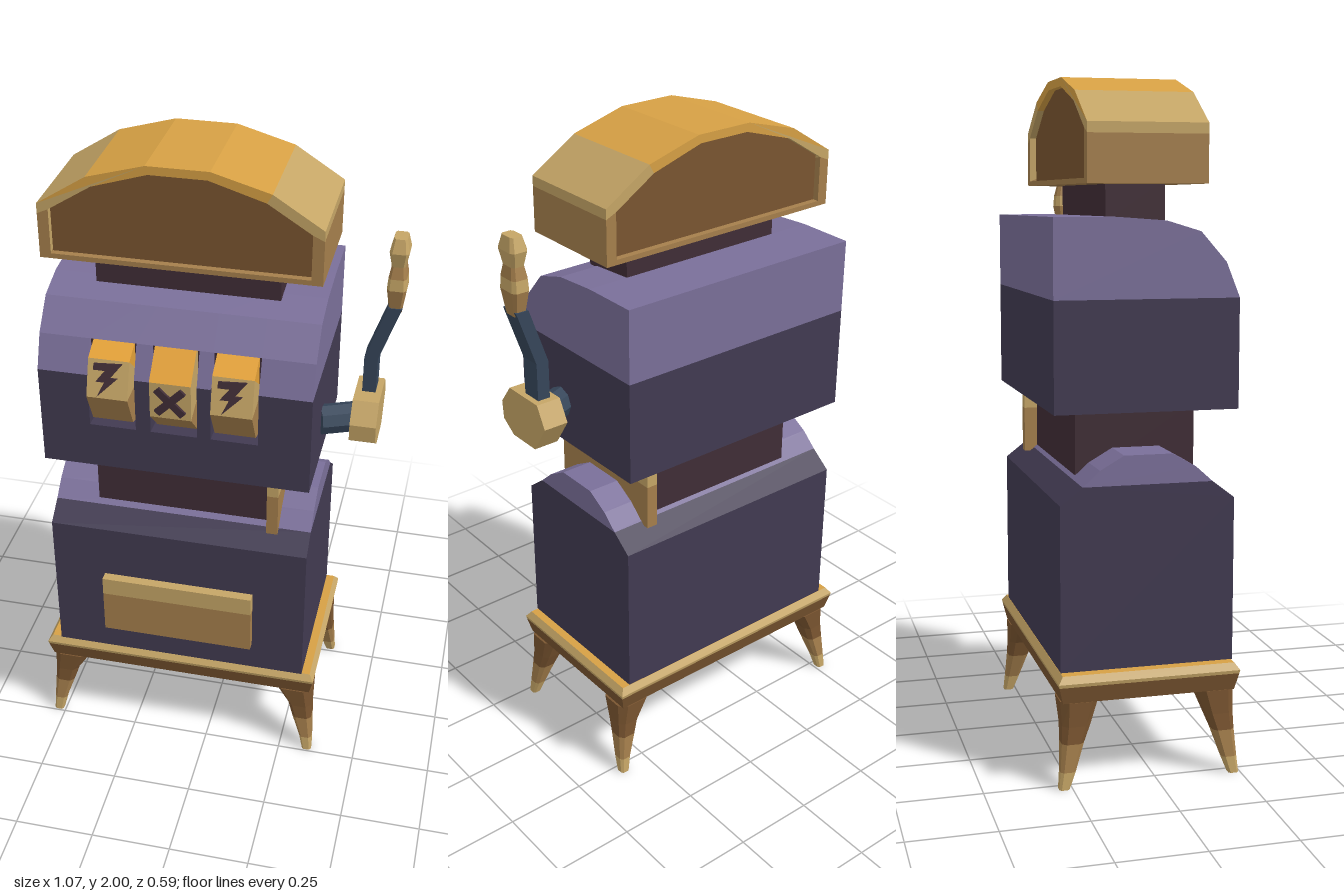
import * as THREE from 'three';

const mat = (name, color) => {
  const m = new THREE.MeshStandardMaterial({ color });
  m.name = name;
  return m;
};
const purple = mat('light purple', 0x7a6f99);
const darkPurple = mat('dark purple', 0x413a51);
const plum = mat('plum', 0x402d36);
const slate = mat('slate', 0x36465a);
const gold = mat('gold', 0xd6a044);
const paleGold = mat('pale gold', 0xc5a566);
const tan = mat('tan', 0xa57f4c);
const brown = mat('brown', 0x7a5530);
const orange = mat('orange', 0xe2a037);

const CX = -0.09, CZ = -0.022; // centre line of the cabinet

function flat(geo) {
  const g = geo.index ? geo.toNonIndexed() : geo;
  g.computeVertexNormals();
  return g;
}

function add(parent, name, geo, material) {
  const mesh = new THREE.Mesh(flat(geo), material);
  mesh.name = name;
  parent.add(mesh);
  return mesh;
}

// Colours triangles by height; bands are [lowest y, material], top band first
function addBanded(parent, name, geo, bands) {
  const g = flat(geo);
  const p = g.attributes.position;
  g.clearGroups();
  for (let i = 0; i < p.count; i += 3) {
    const y = (p.getY(i) + p.getY(i + 1) + p.getY(i + 2)) / 3;
    let k = bands.findIndex(b => y >= b[0]);
    if (k < 0) k = bands.length - 1;
    g.addGroup(i, 3, k);
  }
  return add(parent, name, g, bands.map(b => b[1]));
}

// Stacked rectangles [y, x0, x1, z0, z1], corners cut by the fraction c
function loft(sections, c = 0) {
  const k = 1 - c;
  const ring = c ? [[1, k], [1, -k], [k, -1], [-k, -1], [-1, -k], [-1, k], [-k, 1], [k, 1]]
    : [[1, 1], [1, -1], [-1, -1], [-1, 1]];
  const n = ring.length, pos = [], idx = [];
  const point = (s, u, v) => pos.push(
    (s[1] + s[2]) / 2 + u * Math.abs(s[2] - s[1]) / 2, s[0],
    (s[3] + s[4]) / 2 + v * Math.abs(s[4] - s[3]) / 2);
  sections.forEach(s => ring.forEach(([u, v]) => point(s, u, v)));
  const bottom = sections.length * n, top = bottom + 1, last = bottom - n;
  point(sections[0], 0, 0);
  point(sections[sections.length - 1], 0, 0);
  for (let i = 0; i < n; i++) {
    const j = (i + 1) % n;
    for (let r = 0; r < last; r += n) idx.push(r + i, r + j, r + n + j, r + i, r + n + j, r + n + i);
    idx.push(bottom, j, i, top, last + i, last + j);
  }
  const g = new THREE.BufferGeometry();
  g.setAttribute('position', new THREE.Float32BufferAttribute(pos, 3));
  g.setIndex(idx);
  return g;
}

const block = (x0, x1, y0, y1, z0, z1) => loft([[y0, x0, x1, z0, z1], [y1, x0, x1, z0, z1]]);
const shapeOf = pts => new THREE.Shape(pts.map(([x, y]) => new THREE.Vector2(x, y)));
const extrude = (shape, depth) => new THREE.ExtrudeGeometry(shape, { depth, bevelEnabled: false });

// Side profile of [z, y] points swept from x0 to x1
function prismX(profile, x0, x1) {
  return extrude(shapeOf(profile.map(([z, y]) => [-z, y])), x1 - x0)
    .rotateY(Math.PI / 2).translate(x0, 0, 0);
}

function buildStand(root) {
  const tray = (y, inset) => [y, -0.54 + inset, 0.355 - inset, -0.29 + inset, 0.245 - inset];
  addBanded(root, 'baseTray', loft([tray(0.25, 0.014), tray(0.3, 0.002), tray(0.31, 0), tray(0.33, 0.014)]),
    [[0.3295, gold], [0.3, paleGold], [0, brown]]);
  // Leg sections: y, outer x, inner x, outer z, inner z from the centre
  const leg = [[0, 0.448, 0.418, 0.267, 0.237], [0.05, 0.446, 0.406, 0.262, 0.218],
    [0.13, 0.441, 0.378, 0.256, 0.192], [0.18, 0.438, 0.363, 0.254, 0.172], [0.25, 0.438, 0.318, 0.257, 0.147]];
  for (const sx of [-1, 1]) for (const sz of [-1, 1]) {
    const s = leg.map(([y, a, b, c, d]) => [y, CX + sx * a, CX + sx * b, CZ + sz * c, CZ + sz * d]);
    addBanded(root, 'leg', loft(s, 0.4), [[0.13, brown], [0.05, tan], [0, paleGold]]);
  }
}

function buildLowerCabinet(root) {
  add(root, 'lowerCabinet', prismX([[0.235, 0.33], [0.235, 0.81], [0.17, 0.86],
    [-0.21, 0.86], [-0.275, 0.81], [-0.275, 0.33]], -0.495, 0.315), darkPurple);
  add(root, 'lowerCabinetDome', prismX([[0.17, 0.86], [0.12, 0.905], [0.05, 0.945],
    [-0.09, 0.945], [-0.16, 0.905], [-0.21, 0.86]], -0.495, 0.315), purple);
  addBanded(root, 'frontPlate', loft([0.43, 0.575, 0.635].map(y => [y, -0.33, 0.15, 0.2, 0.265])),
    [[0.575, paleGold], [0.48, tan], [0, tan]]);
  add(root, 'waist', block(-0.36, 0.18, 0.84, 1.07, -0.2, 0.155), plum);
  addBanded(root, 'waistSidePanel', loft([0.85, 0.99, 1.065].map(y => [y, 0.18, 0.215, -0.24, 0.19])),
    [[0.99, paleGold], [0, tan]]);
}

function buildReels(root) {
  const cross = [];
  for (let i = 0; i < 4; i++) { // four arms, three corners each
    const a = Math.PI / 4 + i * Math.PI / 2, c = Math.cos(a), s = Math.sin(a);
    for (const [u, v] of [[0.055, -0.011], [0.055, 0.011], [0.011, 0.011]])
      cross.push([u * c - v * s, u * s + v * c]);
  }
  const bolt = [[-0.042, 0.045], [0.042, 0.05], [0.008, 0.006], [0.03, 0.006],
    [-0.028, -0.052], [-0.008, -0.008], [-0.034, -0.008], [-0.008, 0.026], [-0.042, 0.026]];
  [[-0.275, 19, bolt], [-0.09, 0, cross], [0.09, 15, bolt]].forEach(([x, tilt, mark]) => {
    const reel = new THREE.Group();
    reel.name = 'reel';
    reel.position.set(x, 1.345, 0.14);
    const turn = -THREE.MathUtils.degToRad(tilt);
    const drum = new THREE.CylinderGeometry(0.15, 0.15, 0.122, 8)
      .rotateZ(Math.PI / 2).rotateX(Math.PI / 8 + turn);
    addBanded(reel, 'reelDrum', drum, [[0.07, orange], [-0.03, paleGold], [-1, tan]]);
    add(reel, 'reelSymbol', extrude(shapeOf(mark), 0.009).translate(0, 0, 0.1385).rotateX(turn), plum);
    root.add(reel);
    add(root, 'windowBacking', block(x - 0.07, x + 0.07, 1.21, 1.48, 0.15, 0.19), plum);
  });
}

function buildUpperCabinet(root) {
  const lowerFront = [[0.245, 1.065], [0.245, 1.38]];
  const lowerNotched = [[0.245, 1.065], [0.245, 1.21], [0.17, 1.21], [0.17, 1.38]];
  const upperFront = [[0.245, 1.38], [0.205, 1.48]];
  const upperNotched = [[0.17, 1.38], [0.17, 1.48], [0.205, 1.48]];
  // Solid strips alternate with strips notched for the reel windows
  const cuts = [-0.495, -0.345, -0.205, -0.16, -0.02, 0.02, 0.16, 0.315];
  for (let i = 0; i < cuts.length - 1; i++) {
    const open = i % 2 === 1;
    add(root, 'upperCabinetBase', prismX([...(open ? lowerNotched : lowerFront),
      [-0.29, 1.38], [-0.29, 1.065]], cuts[i], cuts[i + 1]), darkPurple);
    add(root, 'upperCabinetHood', prismX([...(open ? upperNotched : upperFront),
      [0.13, 1.565], [0.03, 1.595], [-0.11, 1.605], [-0.29, 1.605], [-0.29, 1.38]], cuts[i], cuts[i + 1]), purple);
  }
  buildReels(root);
}

function buildCanopy(root) {
  add(root, 'canopyNeck', block(-0.36, 0.185, 1.59, 1.71, -0.11, 0.065), plum);
  // Half arch, mirrored about the centre line
  const arch = half => shapeOf([...half.map(([x, y]) => [CX + x, y]),
    ...half.slice().reverse().map(([x, y]) => [CX - x, y])]);
  const outer = arch([[0.405, 1.695], [0.405, 1.83], [0.405, 1.86], [0.26, 1.952], [0.09, 2]]);
  const inner = [[0.372, 1.71], [0.372, 1.845], [0.245, 1.925], [0.083, 1.975]];
  outer.holes.push(arch(inner));
  addBanded(root, 'canopyShell', extrude(outer, 0.345).translate(0, 0, -0.195),
    [[1.93, gold], [1.8, paleGold], [0, tan]]);
  add(root, 'canopyPanel', extrude(arch(inner), 0.305).translate(0, 0, -0.175), brown);
}

function buildLever(root) {
  const lever = new THREE.Group();
  lever.name = 'lever';
  root.add(lever);
  add(lever, 'leverShaft', new THREE.CylinderGeometry(0.046, 0.046, 0.11, 8)
    .rotateX(Math.PI / 8).rotateZ(Math.PI / 2).translate(0.36, 1.195, 0.027), slate);
  add(lever, 'leverHub', prismX([[0.105, 1.225], [0.06, 1.285], [-0.08, 1.285],
    [-0.115, 1.22], [-0.06, 1.135], [0.05, 1.135], [0.1, 1.17]], 0.405, 0.483), paleGold);
  add(lever, 'leverArm', loft([[1.26, 0.425, 0.465, -0.06, 0.005], [1.4, 0.425, 0.465, -0.06, 0.005],
    [1.57, 0.483, 0.523, -0.06, 0.005]]), slate);
  const grip = [[1.555, 0.018], [1.63, 0.028], [1.665, 0.026], [1.7, 0.02], [1.745, 0.028], [1.785, 0.019]]
    .map(([y, r]) => [y, 0.503 - r, 0.503 + r, -0.027 - r * 1.45, -0.027 + r * 1.45]);
  addBanded(lever, 'leverGrip', loft(grip, 0.3), [[1.7, paleGold], [1.665, tan], [1.63, paleGold], [0, tan]]);
}

export function createModel() {
  const root = new THREE.Group();
  root.name = 'reelMachine';
  [buildStand, buildLowerCabinet, buildUpperCabinet, buildCanopy, buildLever].forEach(build => build(root));
  return root;
}
